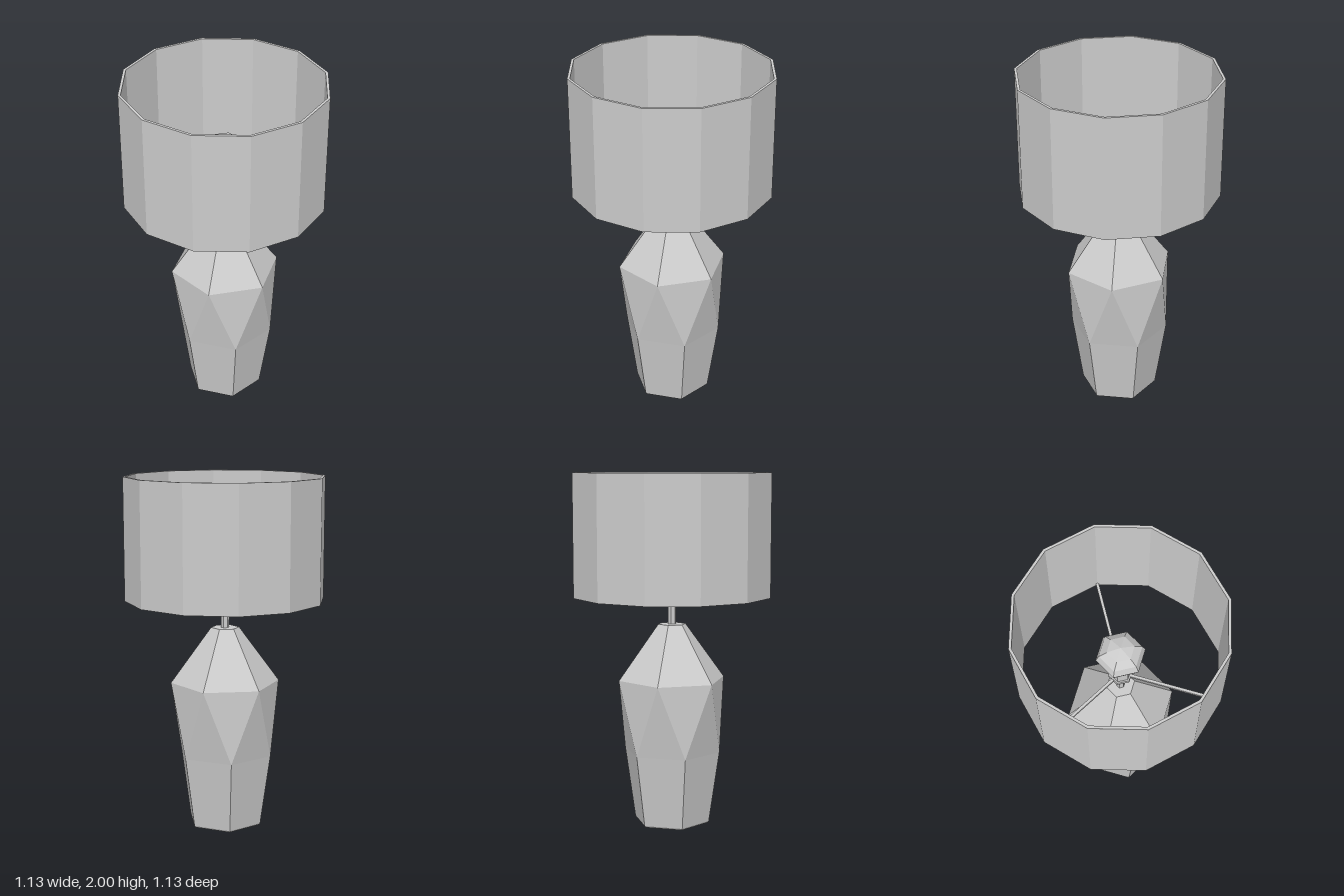
import * as THREE from 'three';

const material = new THREE.MeshStandardMaterial({ color: 0xcccccc, flatShading: true });

function addMesh(parent, name, geometry) {
  const mesh = new THREE.Mesh(geometry, material);
  mesh.name = name;
  parent.add(mesh);
  return mesh;
}

// Faceted lathe from [radius, y] pairs, listed bottom to top
function facetedLathe(profile, sides) {
  const points = profile.map(([r, y]) => new THREE.Vector2(r, y));
  return new THREE.LatheGeometry(points, sides).toNonIndexed();
}

// Six-sided gem body: rings of [radius, y, turn], where turn is in half steps
function gemGeometry(rings) {
  const positions = [];
  const corner = ([r, y, turn], i) => {
    const a = (i + turn / 2) * Math.PI / 3;
    return [r * Math.sin(a), y, r * Math.cos(a)];
  };
  const face = (...corners) => corners.forEach((c) => positions.push(...c));
  for (let k = 0; k < rings.length - 1; k++) {
    const low = rings[k], high = rings[k + 1];
    // a turned-back upper ring pairs each lower corner with the next upper one
    const shift = low[2] > high[2] ? 1 : 0;
    for (let i = 0; i < 6; i++) {
      const a = corner(low, i), b = corner(low, i + 1);
      const c = corner(high, i + shift), d = corner(high, i + 1 + shift);
      if (shift) {
        face(a, b, c);
        face(c, b, d);
      } else {
        face(a, b, d);
        face(a, d, c);
      }
    }
  }
  const first = rings[0], last = rings[rings.length - 1];
  for (let i = 0; i < 6; i++) {
    face([0, first[1], 0], corner(first, i + 1), corner(first, i));
    face([0, last[1], 0], corner(last, i), corner(last, i + 1));
  }
  const geometry = new THREE.BufferGeometry();
  geometry.setAttribute('position', new THREE.Float32BufferAttribute(positions, 3));
  geometry.computeVertexNormals();
  return geometry;
}

export function createModel() {
  const lamp = new THREE.Group();
  lamp.name = 'tableLamp';

  // Gem-cut base
  addMesh(lamp, 'base', gemGeometry([
    [0.212, 0, 1], [0.22, 0.01, 1], [0.28, 0.42, 1], [0.31, 0.835, 0], [0.08, 1.15, 0],
  ]));

  // Stem between base and bulb holder
  const stem = addMesh(lamp, 'stem', new THREE.CylinderGeometry(0.024, 0.024, 0.22, 6));
  stem.position.y = 1.23;

  // Collar that the spokes meet
  const collar = addMesh(lamp, 'collar', new THREE.CylinderGeometry(0.068, 0.068, 0.025, 6));
  collar.position.y = 1.323;

  // Bulb with a narrow neck
  addMesh(lamp, 'bulb', facetedLathe([
    [0, 1.33], [0.058, 1.33], [0.058, 1.46], [0.115, 1.54], [0.135, 1.59],
    [0.117, 1.635], [0.075, 1.665], [0, 1.685],
  ], 6));

  // Three spokes carrying the shade
  for (let i = 0; i < 3; i++) {
    const spoke = new THREE.Group();
    spoke.name = 'spoke';
    const bar = addMesh(spoke, 'spokeBar', new THREE.BoxGeometry(0.51, 0.016, 0.016));
    bar.position.set(0.3, 1.323, 0);
    spoke.rotation.y = i * Math.PI * 2 / 3;
    lamp.add(spoke);
  }

  // Twelve-sided open drum shade with a thin wall
  addMesh(lamp, 'shade', facetedLathe([
    [0.55, 1.31], [0.565, 1.31], [0.565, 2], [0.55, 2], [0.55, 1.31],
  ], 12));

  return lamp;
}
